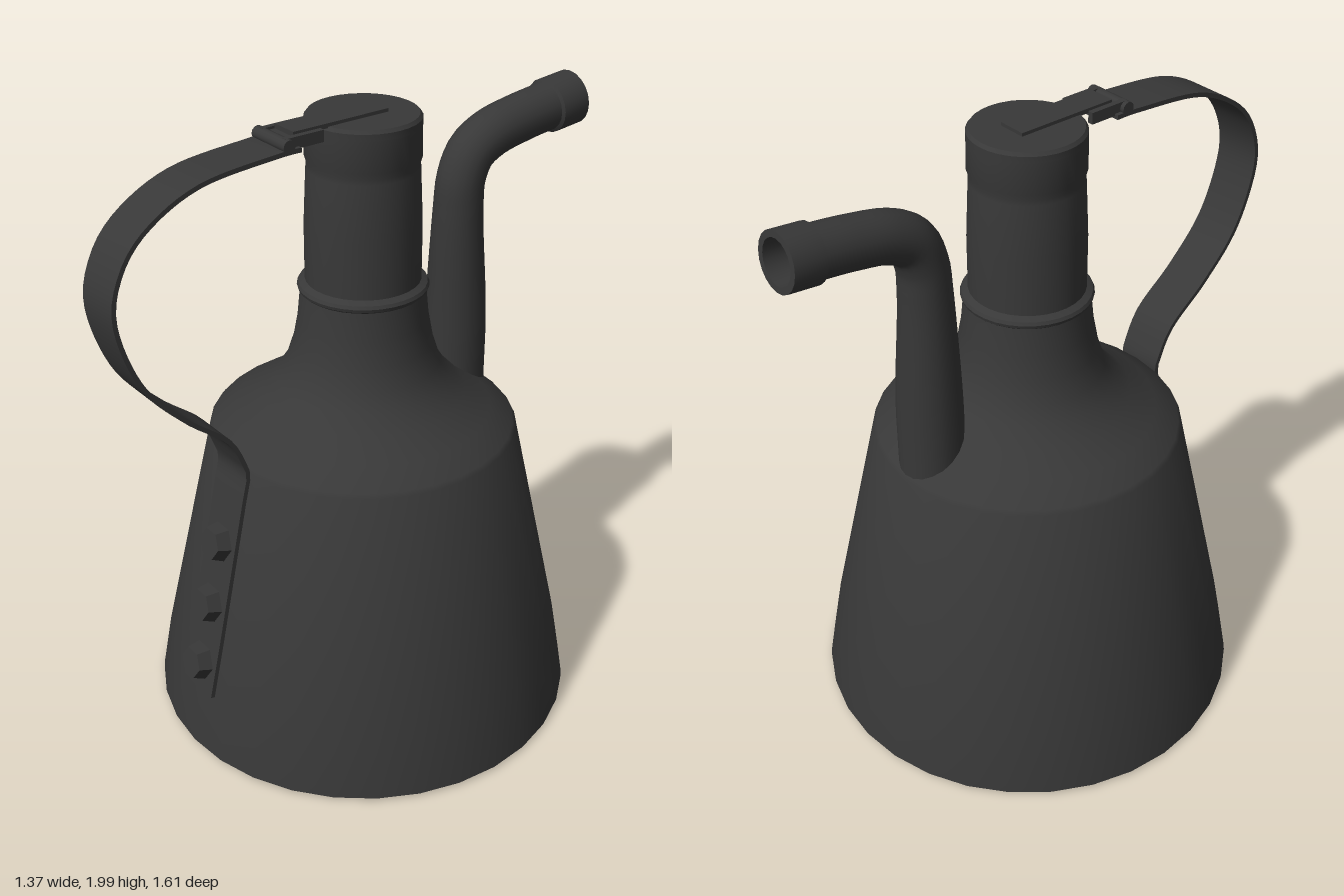
import * as THREE from 'three';
import { toCreasedNormals } from 'three/addons/utils/BufferGeometryUtils.js';

const darkMetal = new THREE.MeshStandardMaterial({ color: 0x383838 });
darkMetal.name = 'darkMetal';

function add(parent, name, geometry) {
  const mesh = new THREE.Mesh(geometry, darkMetal);
  mesh.name = name;
  parent.add(mesh);
  return mesh;
}

// Lathe with sharp edges kept; points are [radius, height] from the bottom up
function lathe(points, segments) {
  const profile = points.map(([r, y]) => new THREE.Vector2(r, y));
  return toCreasedNormals(new THREE.LatheGeometry(profile, segments), 0.5);
}

// Round tube along a curve, with its radius given by a function of t
function taperedTube(curve, steps, sides, radiusAt) {
  const geometry = new THREE.TubeGeometry(curve, steps, 1, sides);
  const pos = geometry.attributes.position;
  const v = new THREE.Vector3();
  for (let i = 0; i <= steps; i++) {
    const centre = curve.getPointAt(i / steps);
    const radius = radiusAt(i / steps, centre);
    for (let j = 0; j <= sides; j++) {
      const k = i * (sides + 1) + j;
      v.fromBufferAttribute(pos, k).sub(centre).multiplyScalar(radius).add(centre);
      pos.setXYZ(k, v.x, v.y, v.z);
    }
  }
  return geometry;
}

// Flat strap following [distance from axis, height] points
function strap(points, width, thickness) {
  const curve = new THREE.SplineCurve(points.map(([s, y]) => new THREE.Vector2(s, y)));
  const outer = [], inner = [], steps = 70;
  for (let i = 0; i <= steps; i++) {
    const p = curve.getPointAt(i / steps), t = curve.getTangentAt(i / steps);
    const n = new THREE.Vector2(t.y, -t.x).multiplyScalar(thickness / 2);
    outer.push(p.clone().add(n));
    inner.unshift(p.clone().sub(n));
  }
  const geometry = new THREE.ExtrudeGeometry(new THREE.Shape([...outer, ...inner]), {
    depth: width, bevelEnabled: false,
  });
  geometry.translate(0, 0, -width / 2).rotateY(-Math.PI / 2);
  return toCreasedNormals(geometry, 0.6);
}

export function createModel() {
  const model = new THREE.Group();
  model.name = 'oilCan';
  // Local +z is the handle side, local -z the spout side
  const can = new THREE.Group();
  can.name = 'can';
  can.position.z = -0.025;
  can.rotation.y = -0.456;
  model.add(can);

  // Conical body with curved shoulder
  add(can, 'body', lathe([
    [0, 0.005], [0.675, 0.005], [0.687, 0.015], [0.684, 0.04], [0.652, 0.22], [0.482, 0.985],
    [0.472, 0.998], [0.4, 1.045], [0.32, 1.1], [0.27, 1.15], [0.238, 1.2], [0.215, 1.27],
    [0.2, 1.35], [0.19, 1.45],
  ], 32));

  // Neck with a raised ring, topped by a lid
  add(can, 'neckRing', lathe([
    [0.185, 1.435], [0.197, 1.445], [0.2, 1.455], [0.195, 1.465], [0.176, 1.475],
  ], 32));
  add(can, 'neck', lathe([
    [0.176, 1.47], [0.176, 1.65], [0.168, 1.825], [0.166, 1.84], [0.172, 1.86], [0.171, 1.955],
  ], 32));
  add(can, 'lid', lathe([
    [0.171, 1.95], [0.171, 1.975], [0.163, 1.985], [0, 1.985],
  ], 32));

  // Lid lever and hinge
  const box = (name, w, h, d, y, z, x = 0) =>
    add(can, name, new THREE.BoxGeometry(w, h, d)).position.set(x, y, z);
  box('lidLever', 0.09, 0.014, 0.33, 1.988, 0.11);
  box('hingePlate', 0.1, 0.016, 0.12, 1.972, 0.26);
  for (const side of [-1, 1]) {
    box('hingeCheek', 0.018, 0.035, 0.13, 1.97, 0.25, side * 0.055);
  }
  const pin = add(can, 'hingePin', new THREE.CylinderGeometry(0.02, 0.02, 0.155, 12));
  pin.rotation.z = Math.PI / 2;
  pin.position.set(0, 1.968, 0.31);

  // Handle strap: up the body, then looping over to the hinge
  add(can, 'handle', strap([
    [0.655, 0.225], [0.615, 0.4], [0.56, 0.65], [0.505, 0.9], [0.487, 0.98], [0.498, 1.03],
    [0.55, 1.13], [0.685, 1.245], [0.813, 1.395], [0.879, 1.597], [0.85, 1.74],
    [0.76, 1.846], [0.595, 1.925], [0.36, 1.95], [0.27, 1.952],
  ], 0.154, 0.014));

  // Hexagonal bolts along the strap
  for (const y of [0.74, 0.53, 0.325]) {
    const geometry = new THREE.CylinderGeometry(0.05, 0.064, 0.05, 6).toNonIndexed();
    geometry.computeVertexNormals();
    geometry.rotateY(Math.PI / 6 + Math.PI / 3 * 1.5 - Math.PI / 6);
    const bolt = add(can, 'bolt', geometry);
    bolt.position.set(0, y, 0.565 - (y - 0.74) * 0.221);
    bolt.rotation.x = Math.PI / 2 - 0.217;
  }

  // Bent spout, thicker at its foot
  const path = new THREE.CatmullRomCurve3([
    [0.373, 0.95], [0.373, 1.25], [0.37, 1.6], [0.378, 1.7], [0.412, 1.772],
    [0.485, 1.815], [0.6, 1.84], [0.73, 1.857],
  ].map(([s, y]) => new THREE.Vector3(0, y, -s)));
  add(can, 'spout', taperedTube(path, 48, 20, (t, p) =>
    0.1 - 0.024 * THREE.MathUtils.smoothstep(p.y, 1.15, 1.72)));

  // Hollow spout tip
  const tip = add(can, 'spoutTip', lathe([
    [0.072, 0], [0.086, 0.008], [0.086, 0.108], [0.066, 0.108], [0.06, -0.05], [0, -0.05],
  ], 20));
  tip.position.set(0, 1.855, -0.715);
  tip.quaternion.setFromUnitVectors(
    new THREE.Vector3(0, 1, 0), new THREE.Vector3(0, 0.1, -1).normalize());

  return model;
}
